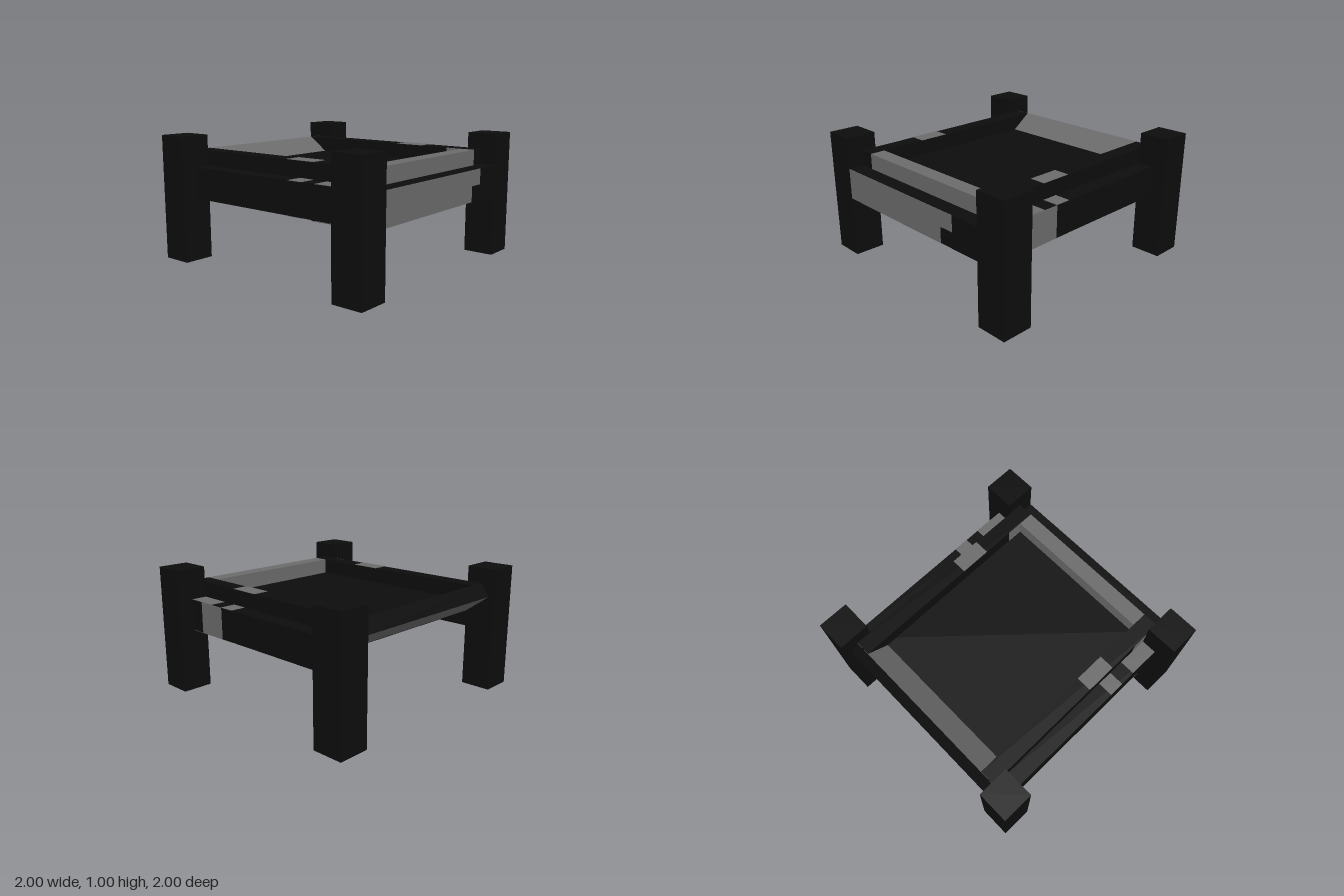
import * as THREE from 'three';

export function createModel() {
  const model = new THREE.Group();
  model.name = 'bedFrame';
  const black = new THREE.MeshStandardMaterial({ color: 0x0d0d0d });
  black.name = 'black';
  const grey = new THREE.MeshStandardMaterial({ color: 0x6b6b6b });
  grey.name = 'grey';

  // Box given by its lower and upper corners
  function box(name, material, [x0, y0, z0], [x1, y1, z1]) {
    const geometry = new THREE.BoxGeometry(x1 - x0, y1 - y0, z1 - z0);
    const mesh = new THREE.Mesh(geometry, material);
    mesh.position.set((x0 + x1) / 2, (y0 + y1) / 2, (z0 + z1) / 2);
    mesh.name = name;
    model.add(mesh);
    return mesh;
  }

  // Box on the left (+x) or right (-x) side, mirrored by s
  function sideBox(s, name, material, [x0, y0, z0], [x1, y1, z1]) {
    return box(name, material,
      [Math.min(s * x0, s * x1), y0, z0], [Math.max(s * x0, s * x1), y1, z1]);
  }

  const T = 0.003; // thickness of painted plates

  for (const s of [1, -1]) {
    const side = s > 0 ? 'left' : 'right';
    // Legs
    sideBox(s, side + 'FrontLeg', black, [0.75, 0, 0.75], [1, 1, 1]);
    sideBox(s, side + 'BackLeg', black, [0.75, 0, -1], [1, 1, -0.75]);
    // Lower and upper side rails
    sideBox(s, side + 'LowerRail', black, [0.75, 0.5, -0.75], [0.875, 0.75, 0.75]);
    sideBox(s, side + 'UpperRail', black, [0.625, 0.75, -0.875], [0.75, 0.875, 0.875]);
    // Grey patches on the top and underside of the rails
    sideBox(s, side + 'UpperRailPatch', grey, [0.625, 0.875, 0.125], [0.75, 0.875 + T, 0.375]);
    for (const [z0, z1] of [[0.25, 0.375], [0.5, 0.75]]) {
      sideBox(s, side + 'LowerRailTopPatch', grey, [0.75, 0.75, z0], [0.875, 0.75 + T, z1]);
      sideBox(s, side + 'LowerRailBottomPatch', grey, [0.75, 0.5 - T, z0], [0.875, 0.5, z1]);
    }
  }

  // Patches on the upright rail faces
  box('leftOuterPatch', grey, [0.875, 0.5, 0.375], [0.875 + T, 0.75, 0.625]);
  box('leftInnerPatch', grey, [0.625 - T, 0.75, 0.625], [0.625, 0.875, 0.75]);
  box('rightOuterPatch', grey, [-0.75 - T, 0.75, 0.625], [-0.75, 0.875, 0.75]);

  // Base panel
  box('basePanel', black, [-0.75, 0.625, -0.75], [0.75, 0.75, 0.875]);

  // Front rails with painted faces
  box('frontLowerRail', black, [-0.75, 0.5, 0.875], [0.75, 0.75, 1]);
  box('frontUpperRail', grey, [-0.625, 0.75, 0.75], [0.625, 0.875, 0.875]);
  box('frontPaintUpper', grey, [-0.75, 0.625, 1], [0.5, 0.75, 1 + T]);
  box('frontPaintLower', grey, [-0.75, 0.5, 1], [0.375, 0.625, 1 + T]);
  box('frontInnerPaint', grey, [-0.625, 0.5, 0.875 - T], [0.5, 0.625, 0.875]);

  // Headboard leaning backwards, grey on both broad faces
  const headboard = new THREE.Mesh(
    new THREE.BoxGeometry(1.5, 0.25, 0.125),
    [black, black, black, black, grey, grey]);
  headboard.name = 'headboard';
  headboard.position.set(0, 0.751, -0.813);
  headboard.rotation.x = -THREE.MathUtils.degToRad(54);
  model.add(headboard);

  return model;
}
